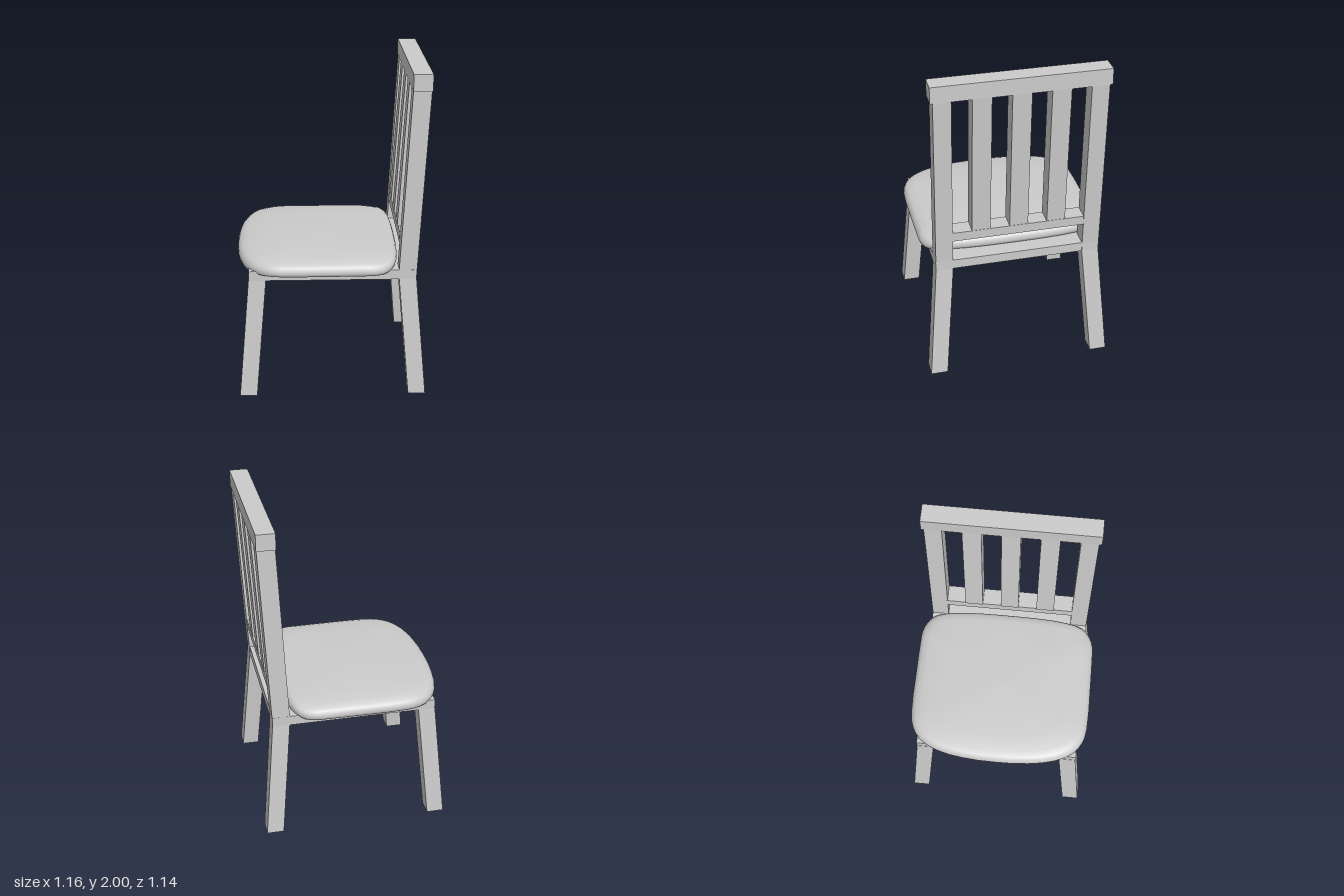
import * as THREE from 'three';

const wood = new THREE.MeshStandardMaterial({ color: 0xcccccc, flatShading: true });
const fabric = new THREE.MeshStandardMaterial({ color: 0xcccccc });

// Straight beam with a level rectangular section, leaning from bottom to top centre
function beam(name, [x0, y0, z0], [x1, y1, z1], width, depth) {
  const geo = new THREE.BoxGeometry(width, 1, depth);
  const p = geo.attributes.position;
  for (let i = 0; i < p.count; i++) {
    const t = p.getY(i) + 0.5;
    p.setXYZ(i,
      p.getX(i) + THREE.MathUtils.lerp(x0, x1, t),
      THREE.MathUtils.lerp(y0, y1, t),
      p.getZ(i) + THREE.MathUtils.lerp(z0, z1, t));
  }
  geo.computeVertexNormals();
  const mesh = new THREE.Mesh(geo, wood);
  mesh.name = name;
  return mesh;
}

// Soft cushion: a rounded outline scaled through a rim and dome profile
function cushion() {
  const half = [[-0.57, 0.21], [-0.535, 0.38], [-0.475, 0.49], [-0.4, 0.545], [-0.31, 0.567],
    [-0.05, 0.57], [0.2, 0.567], [0.26, 0.563], [0.32, 0.54], [0.37, 0.49], [0.4, 0.38], [0.414, 0.2]];
  const loop = [[-0.58, 0], ...half, [0.416, 0], ...half.map(([x, z]) => [x, -z]).reverse()];
  const curve = new THREE.CatmullRomCurve3(loop.map(([x, z]) => new THREE.Vector3(x, 0, z)), true);
  const n = loop.length * 2;
  const outline = Array.from({ length: n }, (_, i) => curve.getPoint(i / n));
  // [scale, height] from the underside over the rim to the crown
  const profile = [[0, 0.778], [0.9, 0.777], [0.96, 0.777], [0.99, 0.783], [1, 0.8], [0.995, 0.818],
    [0.98, 0.835], [0.95, 0.85], [0.88, 0.864], [0.7, 0.876], [0.4, 0.884], [0, 0.887]];
  const cx = -0.08, pos = [], index = [];
  profile.forEach(([s, y], j) => {
    outline.forEach((p, i) => {
      const x = cx + (p.x - cx) * s;
      // the edge beside the backrest sits a little higher
      const lift = 0.02 * THREE.MathUtils.smoothstep(x, 0.3, 0.41);
      pos.push(x, y + lift, p.z * s);
      if (j === 0) return;
      const k = (i + 1) % n, a = (j - 1) * n, b = j * n;
      index.push(a + i, a + k, b + k, a + i, b + k, b + i);
    });
  });
  const geo = new THREE.BufferGeometry();
  geo.setAttribute('position', new THREE.Float32BufferAttribute(pos, 3));
  geo.setIndex(index);
  geo.computeVertexNormals();
  const mesh = new THREE.Mesh(geo, fabric);
  mesh.name = 'seatCushion';
  return mesh;
}

export function createModel() {
  const chair = new THREE.Group();
  chair.name = 'chair';

  // Seat
  chair.add(beam('seatFrame', [0.005, 0.74, 0], [0.005, 0.8, 0], 1.01, 1.02));
  chair.add(cushion());

  // Splayed legs and leaning back posts
  for (const [side, s] of [['A', 1], ['B', -1]]) {
    chair.add(beam('frontLeg' + side, [-0.513, 0, s * 0.519], [-0.449, 0.74, s * 0.457], 0.105, 0.105));
    chair.add(beam('rearLeg' + side, [0.523, 0, s * 0.519], [0.46, 0.74, s * 0.457], 0.105, 0.105));
    chair.add(beam('postFoot' + side, [0.46, 0.74, s * 0.457], [0.46, 0.8, s * 0.457], 0.105, 0.105));
    chair.add(beam('backPost' + side, [0.46, 0.8, s * 0.457], [0.52, 1.9, s * 0.457], 0.108, 0.105));
  }

  // Back rails
  chair.add(beam('topRail', [0.521, 1.9, 0], [0.521, 2, 0], 0.113, 1.05));
  chair.add(beam('lowerRail', [0.465, 0.94, 0], [0.468, 1, 0], 0.106, 0.82));

  // Back slats
  for (const i of [-1, 0, 1]) {
    chair.add(beam('backSlat', [0.464, 1, i * 0.23], [0.52, 1.9, i * 0.23], 0.11, 0.113));
  }
  return chair;
}
